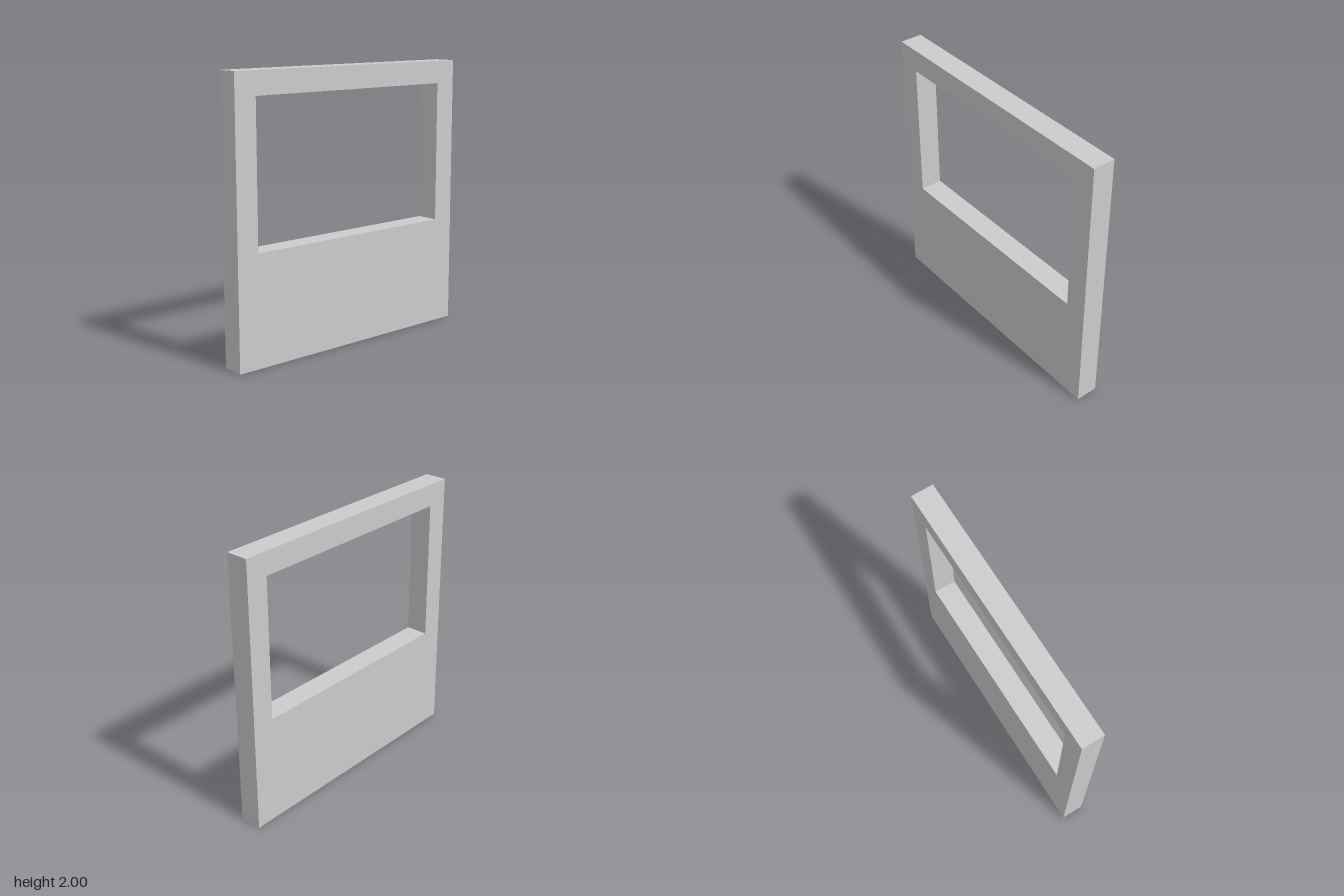
import * as THREE from 'three';

const DEPTH = 0.165;

// Counter-clockwise rectangle outline
function rectangle(Type, x0, y0, x1, y1) {
  return new Type([
    new THREE.Vector2(x0, y0),
    new THREE.Vector2(x1, y0),
    new THREE.Vector2(x1, y1),
    new THREE.Vector2(x0, y1),
  ]);
}

export function createModel() {
  const group = new THREE.Group();
  group.name = 'windowWall';

  // Square wall panel with a wide window opening
  const outline = rectangle(THREE.Shape, -1, 0, 1, 2);
  outline.holes.push(rectangle(THREE.Path, -0.835, 0.8, 0.835, 1.835));

  const geometry = new THREE.ExtrudeGeometry(outline, { depth: DEPTH, bevelEnabled: false });
  geometry.translate(0, 0, -DEPTH / 2);

  const wall = new THREE.Mesh(
    geometry,
    new THREE.MeshStandardMaterial({ color: 0xcccccc, flatShading: true })
  );
  wall.name = 'wall';
  group.add(wall);
  return group;
}
